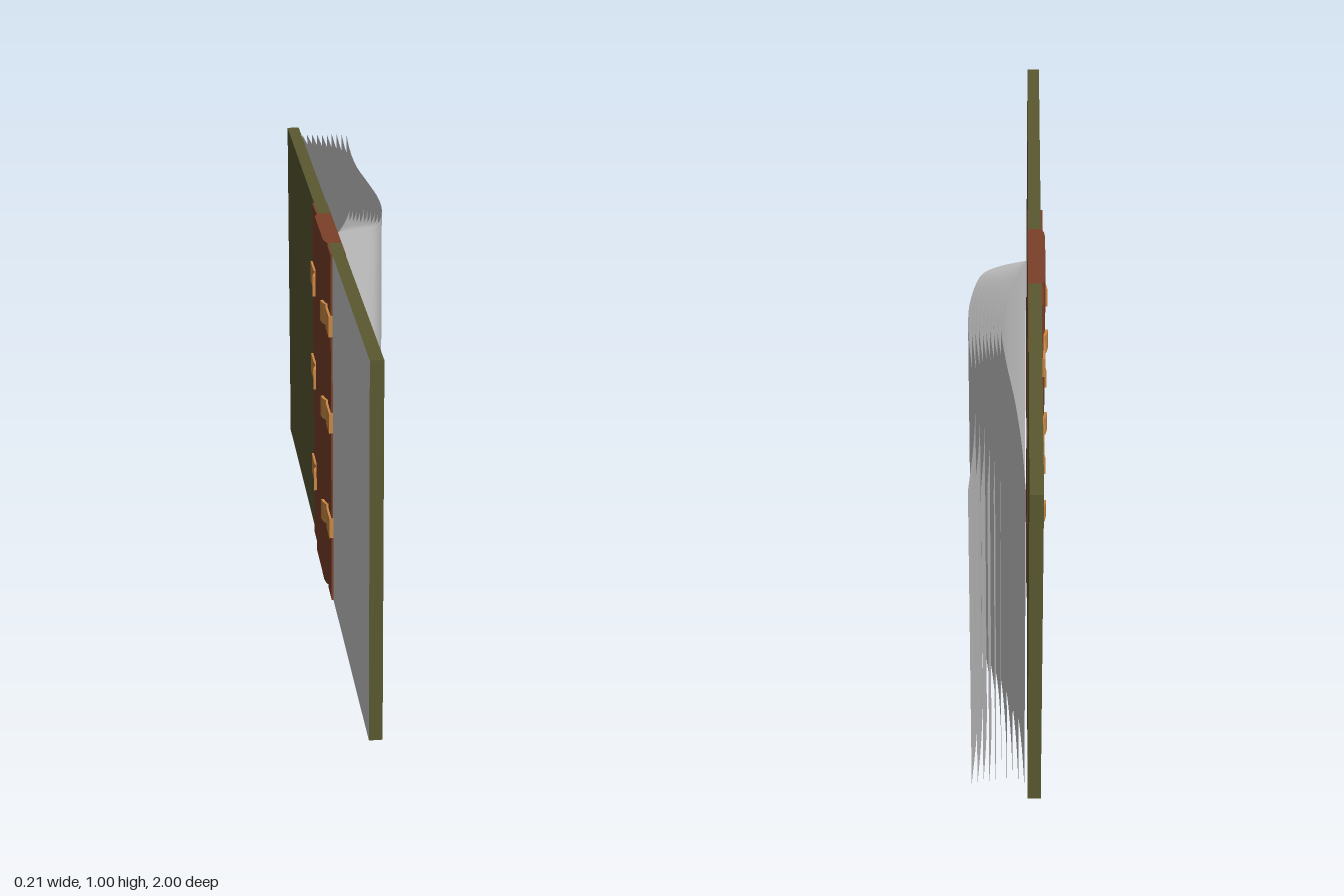
import * as THREE from 'three';

const material = (name, color) => new THREE.MeshStandardMaterial({ name, color });

// Extrude a cross-section upwards; points are [x, z] for z >= 0, mirrored to z < 0
function uprightStrip(half, y, height, mat, name) {
  const all = [...half, ...half.slice().reverse().map(([x, z]) => [x, -z])];
  const shape = new THREE.Shape(all.map(([x, z]) => new THREE.Vector2(x, -z)));
  const geo = new THREE.ExtrudeGeometry(shape, { depth: height, bevelEnabled: false });
  geo.rotateX(-Math.PI / 2);
  const mesh = new THREE.Mesh(geo, mat);
  mesh.name = name;
  mesh.position.y = y;
  return mesh;
}

export function createModel() {
  const book = new THREE.Group();
  book.name = 'openBook';
  const olive = material('oliveCloth', 0x5a5931);
  const brown = material('brownLeather', 0x7c4029);
  const tan = material('tanLeather', 0xcc8844);
  const grey = material('bareBoard', 0xcccccc);
  const paper = material('paper', 0xcccccc);
  paper.side = THREE.DoubleSide;

  // Cover boards; the front one has a bare outer face
  for (const side of [1, -1]) {
    const board = new THREE.Mesh(new THREE.BoxGeometry(0.034, 1, 0.87), olive);
    board.name = side > 0 ? 'frontCover' : 'backCover';
    board.position.set(-0.069, 0.5, side * 0.565);
    if (side > 0) board.material = [olive, grey, olive, olive, olive, olive];
    book.add(board);
  }

  // Leather spine: inner lining, flaps over the boards, joint grooves and a raised back
  book.add(uprightStrip([
    [-0.0505, 0.225], [-0.052, 0.225], [-0.052, 0.13], [-0.086, 0.13], [-0.086, 0.225],
    [-0.091, 0.225], [-0.091, 0.15], [-0.088, 0.131], [-0.094, 0.115], [-0.097, 0.095],
  ], 0, 1, brown, 'spine'));

  // Three straps wrapped over the spine
  for (const y of [0.218, 0.526, 0.801]) {
    book.add(uprightStrip([
      [-0.0855, 0.228], [-0.097, 0.228], [-0.097, 0.152], [-0.094, 0.133],
      [-0.102, 0.115], [-0.105, 0.095], [-0.088, 0.095], [-0.0855, 0.13],
    ], y - 0.029, 0.058, tan, 'spineStrap'));
  }

  // Curved sheets fanning out from the gutter, blended between lowest and topmost
  const lowest = [[-0.046, 0], [-0.035, -0.03], [-0.022, -0.07], [0.006, -0.18], [0.018, -0.3],
    [0.005, -0.45], [-0.018, -0.62], [-0.035, -0.8], [-0.044, -0.968]];
  const topmost = [[-0.046, 0], [0.02, -0.025], [0.066, -0.06], [0.097, -0.18], [0.102, -0.3],
    [0.092, -0.45], [0.079, -0.62], [0.081, -0.8], [0.091, -0.968]];
  const pages = new THREE.Group();
  pages.name = 'pages';
  const sheets = 10;
  for (let i = 0; i < sheets; i++) {
    const t = i / (sheets - 1);
    const curve = new THREE.CatmullRomCurve3(lowest.map(([x, z], k) => new THREE.Vector3(
      THREE.MathUtils.lerp(x, topmost[k][0], t), 0, THREE.MathUtils.lerp(z, topmost[k][1], t))));
    const geo = new THREE.PlaneGeometry(1, 0.965, 40, 1);
    const pos = geo.attributes.position;
    for (let v = 0; v < pos.count; v++) {
      const p = curve.getPoint(THREE.MathUtils.clamp(pos.getX(v) + 0.5, 0, 1));
      pos.setXYZ(v, p.x, pos.getY(v) + 0.5025, p.z);
    }
    geo.computeVertexNormals();
    const sheet = new THREE.Mesh(geo, paper);
    sheet.name = 'page';
    pages.add(sheet);
  }
  book.add(pages);
  return book;
}
